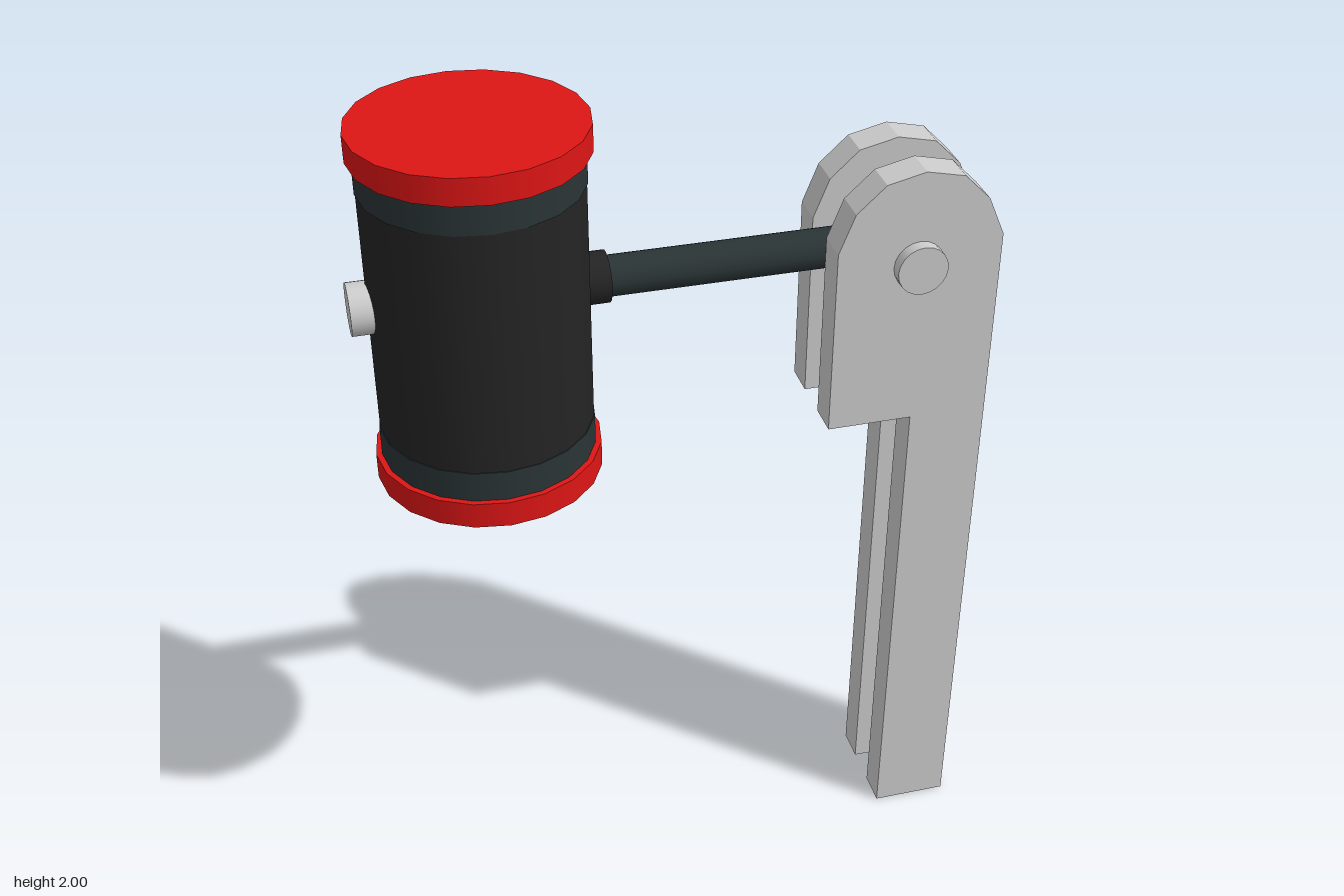
import * as THREE from 'three';

const material = (color) => new THREE.MeshStandardMaterial({ color });

export function createModel() {
  const model = new THREE.Group();
  model.name = 'hingedMallet';
  const grey = material(0xcccccc);
  const red = material(0xdd1515);
  const black = material(0x242424);
  const slate = material(0x2a3435);

  const add = (name, geometry, mat, parent = model) => {
    const mesh = new THREE.Mesh(geometry, mat);
    mesh.name = name;
    parent.add(mesh);
    return mesh;
  };

  // Mallet head: barrel with a band and a striking face at each end
  const head = new THREE.Group();
  head.name = 'malletHead';
  head.position.set(-0.425, 1.59, 0);
  model.add(head);
  const drum = (name, radius, y0, y1, mat) => {
    const mesh = add(name, new THREE.CylinderGeometry(radius, radius, y1 - y0, 20), mat, head);
    mesh.position.y = (y0 + y1) / 2;
  };
  drum('barrel', 0.235, -0.285, 0.285, black);
  for (const [end, s] of [['upper', 1], ['lower', -1]]) {
    const span = (a, b) => (s > 0 ? [a, b] : [-b, -a]);
    drum(end + 'Band', 0.237, ...span(0.28, 0.352), slate);
    drum(end + 'StrikingFace', 0.25, ...span(0.35, 0.41), red);
  }

  // Handle parts lying along x
  const rod = (name, radius, x0, x1, mat) => {
    const mesh = add(name, new THREE.CylinderGeometry(radius, radius, x1 - x0, 20).rotateZ(Math.PI / 2), mat);
    mesh.position.set((x0 + x1) / 2, 1.61, 0);
  };
  rod('handle', 0.045, -0.25, 0.48, slate);
  rod('handleCollar', 0.057, -0.25, -0.15, black);
  rod('handleEndCap', 0.057, -0.7, -0.6, grey);

  // Two upright plates with faceted round tops
  const outline = new THREE.Shape([
    [0.52, 0], [0.7, 0], [0.7, 1.66], [0.66, 1.75], [0.6, 1.81], [0.512, 1.83],
    [0.425, 1.81], [0.36, 1.75], [0.325, 1.66], [0.325, 1.215], [0.52, 1.215],
  ].map(([x, y]) => new THREE.Vector2(x, y)));
  for (const [name, z] of [['frontPlate', 0.047], ['backPlate', -0.125]]) {
    const geometry = new THREE.ExtrudeGeometry(outline, { depth: 0.079, bevelEnabled: false });
    add(name, geometry, grey).position.z = z;
  }

  // Hinge pin through both plates
  const pin = add('hingePin', new THREE.CylinderGeometry(0.057, 0.057, 0.32, 20).rotateX(Math.PI / 2), grey);
  pin.position.set(0.51, 1.61, -0.005);

  return model;
}
